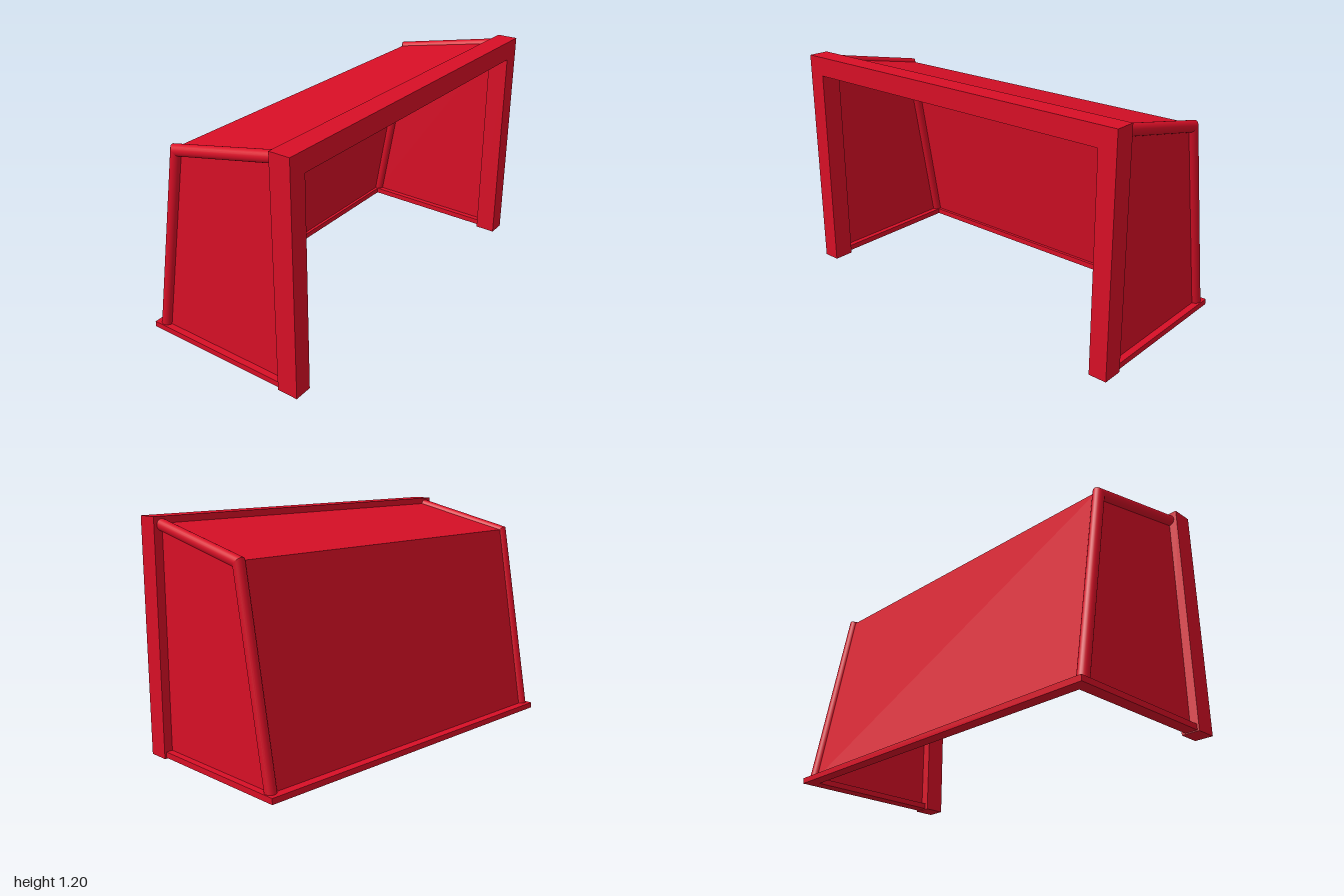
import * as THREE from 'three';

const red = new THREE.MeshStandardMaterial({ color: 0xd80f26 });
const redNet = new THREE.MeshStandardMaterial({ color: 0xd80f26, side: THREE.DoubleSide });

// Profile of the side supports, from the ground bar up to the crossbar
const FOOT = new THREE.Vector2(-0.413, 0.02);
const BEND = new THREE.Vector2(-0.229, 1.034);
const HEAD = new THREE.Vector2(0.36, 1.158);
const SIDE_Z = 0.955;

function add(parent, name, geometry, material = red) {
  const mesh = new THREE.Mesh(geometry, material);
  mesh.name = name;
  parent.add(mesh);
  return mesh;
}

function polygon(points) {
  return new THREE.Shape(points.map(([x, y]) => new THREE.Vector2(x, y)));
}

// Round rod between two profile points, its ends sheared for a mitred joint
function rod(parent, name, a, b, z, bottomShear, topShear) {
  const d = b.clone().sub(a);
  const geometry = new THREE.CylinderGeometry(0.029, 0.029, d.length(), 24);
  const p = geometry.attributes.position;
  for (let i = 0; i < p.count; i++) {
    const shear = p.getY(i) > 0 ? topShear : bottomShear;
    p.setY(i, p.getY(i) + shear * p.getX(i));
  }
  const mesh = add(parent, name, geometry);
  mesh.rotation.z = -Math.atan2(d.x, d.y);
  mesh.position.set((a.x + b.x) / 2, (a.y + b.y) / 2, z);
}

// Flat net sheet spanning the full width between two profile points
function sheet(parent, name, a, b) {
  const d = b.clone().sub(a);
  const geometry = new THREE.PlaneGeometry(2 * SIDE_Z, d.length());
  geometry.rotateY(-Math.PI / 2);
  const mesh = add(parent, name, geometry, redNet);
  mesh.rotation.z = -Math.atan2(d.x, d.y);
  mesh.position.set((a.x + b.x) / 2, (a.y + b.y) / 2, 0);
}

export function createModel() {
  const goal = new THREE.Group();
  goal.name = 'goal';

  // Posts and crossbar in one piece
  const frame = new THREE.ExtrudeGeometry(
    polygon([[-1, 0], [-0.905, 0], [-0.905, 1.095], [0.905, 1.095],
      [0.905, 0], [1, 0], [1, 1.197], [-1, 1.197]]),
    { depth: 0.11, bevelEnabled: false });
  frame.rotateY(Math.PI / 2);
  frame.translate(0.352, 0, 0);
  add(goal, 'goalFrame', frame);

  // Flat ground bars, a U open toward the posts
  const base = new THREE.ExtrudeGeometry(
    polygon([[-0.463, -0.99], [0.36, -0.99], [0.36, -0.925], [-0.4, -0.925],
      [-0.4, 0.925], [0.36, 0.925], [0.36, 0.99], [-0.463, 0.99]]),
    { depth: 0.03, bevelEnabled: false });
  base.rotateX(-Math.PI / 2);
  base.translate(0, 0.005, 0);
  add(goal, 'groundBars', base);

  // Mirrored side supports and side nets
  const up = BEND.clone().sub(FOOT);
  const over = HEAD.clone().sub(BEND);
  const mitre = Math.tan((up.angle() - over.angle()) / 2);
  for (const [side, s] of [['left', -1], ['right', 1]]) {
    const group = new THREE.Group();
    group.name = side + 'Side';
    goal.add(group);
    rod(group, 'rearRod', FOOT, BEND, s * SIDE_Z, 0, -mitre);
    rod(group, 'topRod', BEND, HEAD, s * SIDE_Z, mitre, 0);
    const net = new THREE.ShapeGeometry(
      new THREE.Shape([FOOT, new THREE.Vector2(HEAD.x, FOOT.y), HEAD, BEND]));
    add(group, 'sideNet', net, redNet).position.z = s * SIDE_Z;
  }

  // Rear and top nets, set slightly outside the rod centres
  const bend = new THREE.Vector2(-0.24, 1.042);
  sheet(goal, 'rearNet', new THREE.Vector2(-0.42, 0.02), bend);
  sheet(goal, 'topNet', bend, new THREE.Vector2(0.36, 1.165));

  return goal;
}
